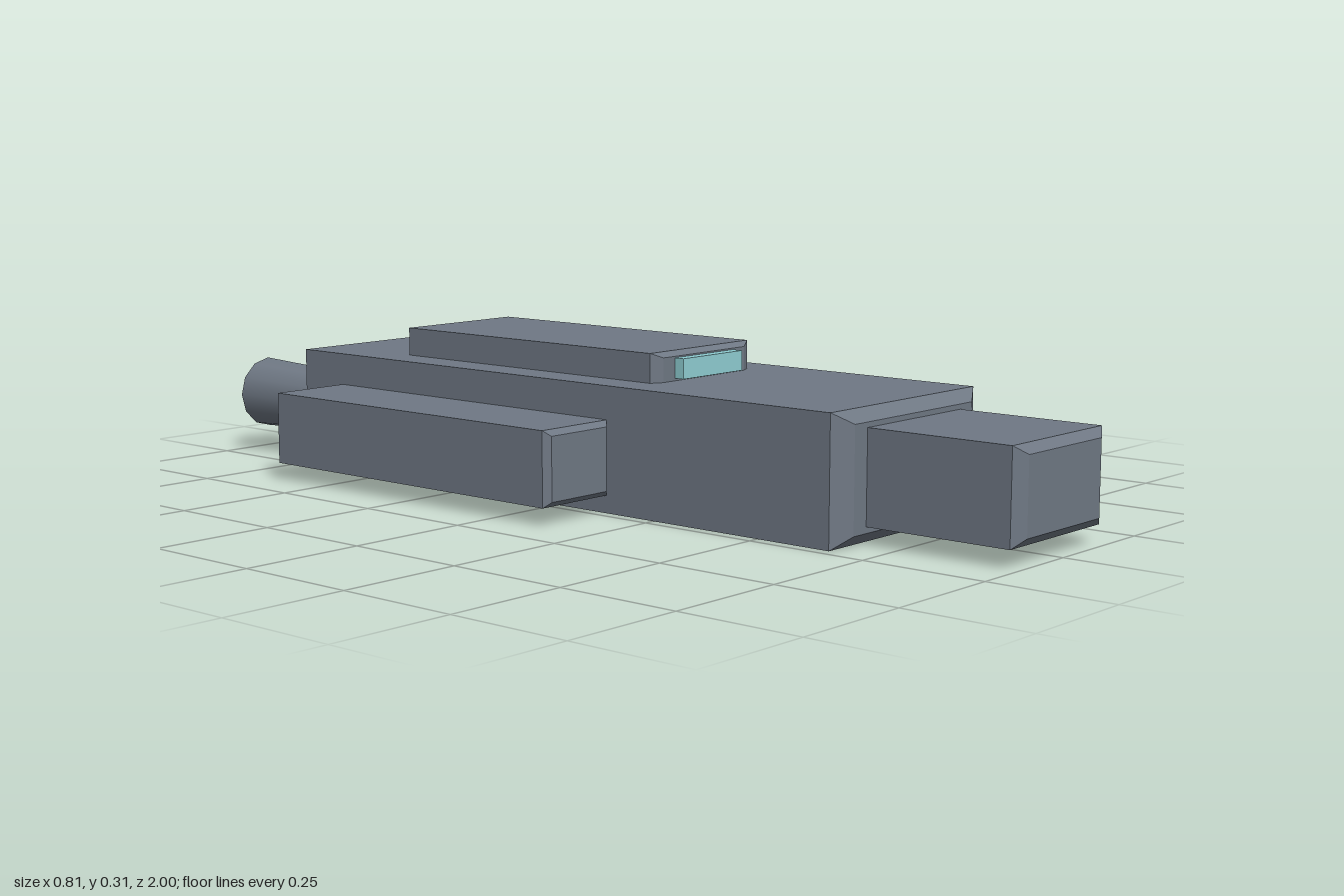
import * as THREE from 'three';

const hullGrey = new THREE.MeshStandardMaterial({ color: 0x6f7884 });
hullGrey.name = 'hullGrey';
const glowCyan = new THREE.MeshStandardMaterial({ color: 0x8fcdd2 });
glowCyan.name = 'glowCyan';

// Box given by its limits, with the front and back faces inset to leave bevels
function beveledBlock(name, [x0, x1], [y0, y1], [z0, z1], insetX, insetY, depth) {
  const w = x1 - x0, h = y1 - y0, d = z1 - z0;
  const box = new THREE.BoxGeometry(w, h, d, 1, 1, 3);
  const p = box.attributes.position;
  for (let i = 0; i < p.count; i++) {
    const z = p.getZ(i), side = Math.sign(z);
    if (Math.abs(z) > d * 0.4) {
      p.setX(i, p.getX(i) - Math.sign(p.getX(i)) * insetX);
      p.setY(i, p.getY(i) - Math.sign(p.getY(i)) * insetY);
    } else {
      p.setZ(i, side * (d / 2 - depth));
    }
  }
  // Unshared corners keep every bevel crisp
  const geometry = box.toNonIndexed();
  geometry.computeVertexNormals();
  geometry.translate((x0 + x1) / 2, (y0 + y1) / 2, (z0 + z1) / 2);
  const mesh = new THREE.Mesh(geometry, hullGrey);
  mesh.name = name;
  return mesh;
}

// Tapered cylinder lying along z, from its rear end to its front end
function nozzle(name, material, x, y, zRear, zFront, rRear, rFront) {
  const geometry = new THREE.CylinderGeometry(rFront, rRear, zFront - zRear, 12);
  geometry.rotateX(Math.PI / 2);
  const mesh = new THREE.Mesh(geometry, material);
  mesh.position.set(x, y, (zRear + zFront) / 2);
  mesh.name = name;
  return mesh;
}

export function createModel() {
  const model = new THREE.Group();
  model.name = 'spaceship';

  // Main body, nose and raised cabin
  model.add(beveledBlock('hull', [-0.228, 0.228], [0, 0.248], [-0.77, 0.685], 0.041, 0.023, 0.024));
  model.add(beveledBlock('nose', [-0.149, 0.149], [0.035, 0.215], [0.6, 1], 0.028, 0.017, 0.016));
  model.add(beveledBlock('cabin', [-0.149, 0.149], [0.19, 0.306], [-0.515, 0.185], 0.025, 0.01, 0.012));

  // Cabin window
  const pane = new THREE.Mesh(new THREE.BoxGeometry(0.18, 0.04, 0.03), glowCyan);
  pane.position.set(0, 0.273, 0.192);
  pane.name = 'window';
  model.add(pane);

  // Side pods and engines, mirrored
  for (const [label, s] of [['left', 1], ['right', -1]]) {
    const pod = beveledBlock(label + 'Pod', [-0.089, 0.089], [0.035, 0.182], [-0.64, 0.143], 0.013, 0.011, 0.012);
    pod.position.x = s * 0.317;
    model.add(pod);
    model.add(nozzle(label + 'Engine', hullGrey, s * 0.152, 0.128, -0.968, -0.74, 0.077, 0.067));
    model.add(nozzle(label + 'EngineGlow', glowCyan, s * 0.147, 0.128, -1, -0.95, 0.038, 0.047));
  }
  return model;
}
